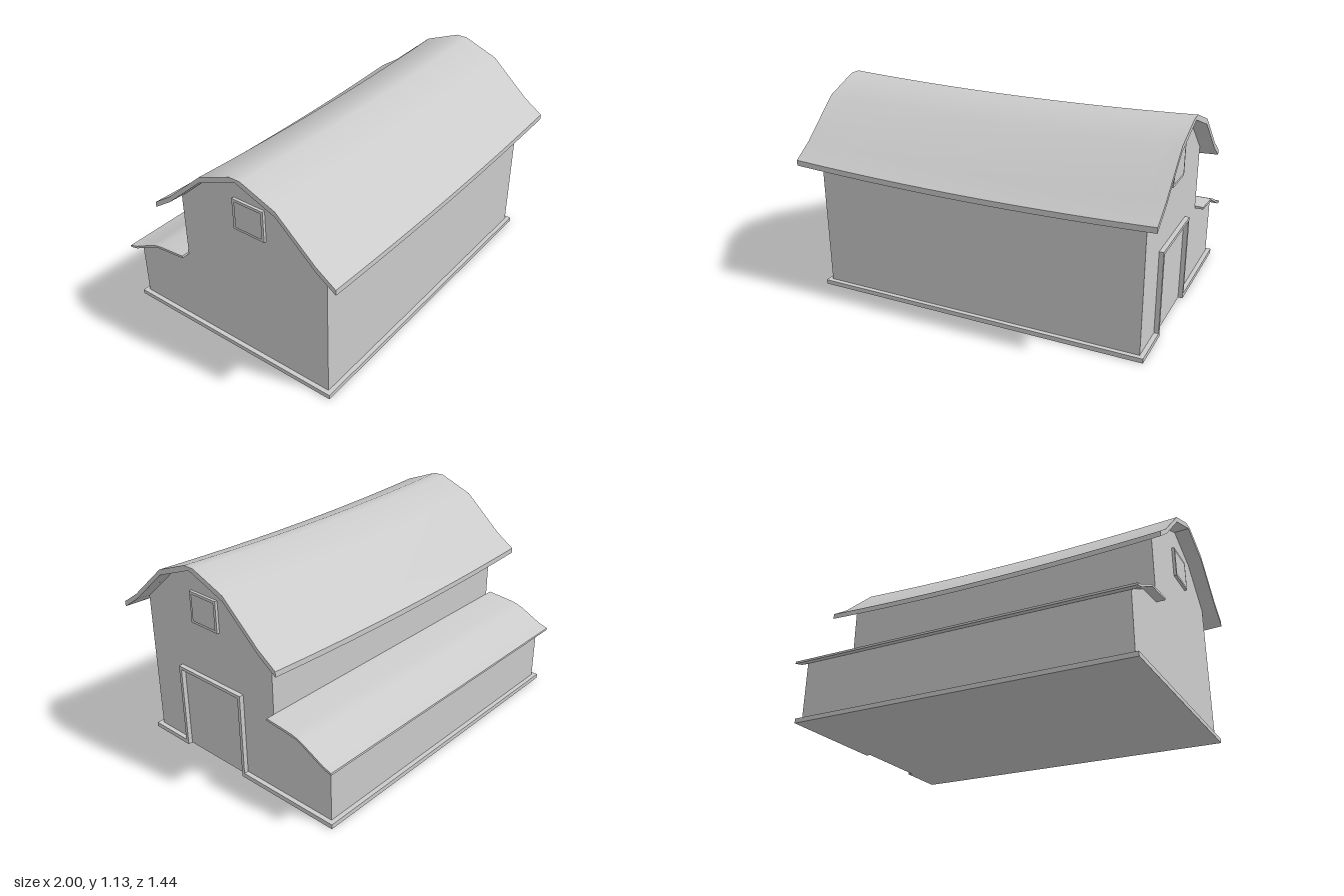
import * as THREE from 'three';
import { toCreasedNormals } from 'three/addons/utils/BufferGeometryUtils.js';

const material = new THREE.MeshStandardMaterial({ color: 0xcccccc });

const shapeOf = (points) => new THREE.Shape(points.map(([a, b]) => new THREE.Vector2(a, b)));

// Extrudes a [z, y] profile along x, optionally dipping it towards mid-length
function alongX(name, profile, x0, x1, sag = 0, holes = []) {
  const shape = shapeOf(profile.map(([z, y]) => [-z, y]));
  for (const hole of holes) shape.holes.push(shapeOf(hole.map(([z, y]) => [-z, y])));
  const geometry = new THREE.ExtrudeGeometry(shape, {
    depth: x1 - x0, steps: sag ? 20 : 1, bevelEnabled: false,
  });
  geometry.rotateY(Math.PI / 2).translate(x0, 0, 0);
  const p = geometry.attributes.position;
  for (let i = 0; i < p.count; i++) {
    if (p.getY(i) > 0.1) p.setY(i, p.getY(i) - sag * (1 - p.getX(i) ** 2));
  }
  const mesh = new THREE.Mesh(toCreasedNormals(geometry, 0.6), material);
  mesh.name = name;
  return mesh;
}

const rect = (z0, z1, y0, y1) => [[z0, y0], [z1, y0], [z1, y1], [z0, y1]];

export function createModel() {
  const barn = new THREE.Group();
  barn.name = 'barn';
  const wallX = 0.92, trimX = 0.945, ridgeZ = 0.1525, sag = 0.025;

  // Gambrel section: half profiles as [distance from ridge, height], mirrored
  const both = (half) => [
    ...half.map(([d, y]) => [ridgeZ + d, y]),
    ...half.slice().reverse().filter(([d]) => d > 0).map(([d, y]) => [ridgeZ - d, y]),
  ];
  const top = both([[0.5675, 0.775], [0.4575, 0.85], [0.2325, 1.05], [0.0325, 1.128]]);
  const under = both([[0.5675, 0.745], [0.4575, 0.82], [0.2325, 1.02], [0, 1.11]]);
  barn.add(alongX('mainRoof', [...top, ...under.reverse()], -1, 1, sag));
  barn.add(alongX('mainWalls',
    both([[0.4575, 0], [0.4575, 0.818], [0.2325, 1.018], [0, 1.108]]), -wallX, wallX, sag));

  // Lean-to along the back
  barn.add(alongX('leanToRoof', [
    [-0.305, 0.463], [-0.47, 0.447], [-0.505, 0.439], [-0.54, 0.426], [-0.67, 0.36], [-0.72, 0.345],
    [-0.72, 0.333], [-0.67, 0.346], [-0.54, 0.412], [-0.5, 0.43], [-0.305, 0.45],
  ], -0.967, 0.967));
  barn.add(alongX('leanToWalls', [
    [-0.305, 0], [-0.675, 0], [-0.675, 0.343], [-0.54, 0.411], [-0.5, 0.429], [-0.305, 0.449],
  ], -wallX, wallX));

  // Base board around the walls, open at the doorway
  const doorBack = -0.09, doorFront = 0.38;
  const board = [
    [trimX, doorFront], [trimX, 0.635], [-trimX, 0.635], [-trimX, -0.7], [trimX, -0.7], [trimX, doorBack],
    [wallX, doorBack], [wallX, -0.675], [-wallX, -0.675], [-wallX, 0.61], [wallX, 0.61], [wallX, doorFront],
  ];
  const baseGeometry = new THREE.ExtrudeGeometry(
    shapeOf(board.map(([x, z]) => [x, -z])), { depth: 0.025, bevelEnabled: false });
  const base = new THREE.Mesh(baseGeometry.rotateX(-Math.PI / 2), material);
  base.name = 'baseBoard';
  barn.add(base);

  // Door frame on one gable end
  barn.add(alongX('doorFrame', [
    [doorFront, 0], [doorFront, 0.487], [doorBack, 0.487], [doorBack, 0],
    [-0.072, 0], [-0.072, 0.469], [0.362, 0.469], [0.362, 0],
  ], wallX, trimX));

  // Loft window frames on both gable ends
  for (const [name, x0] of [['rightWindowFrame', -wallX - 0.015], ['leftWindowFrame', wallX]]) {
    barn.add(alongX(name, rect(0.057, 0.25, 0.78, 0.954), x0, x0 + 0.015, 0,
      [rect(0.073, 0.235, 0.795, 0.939)]));
  }
  return barn;
}
